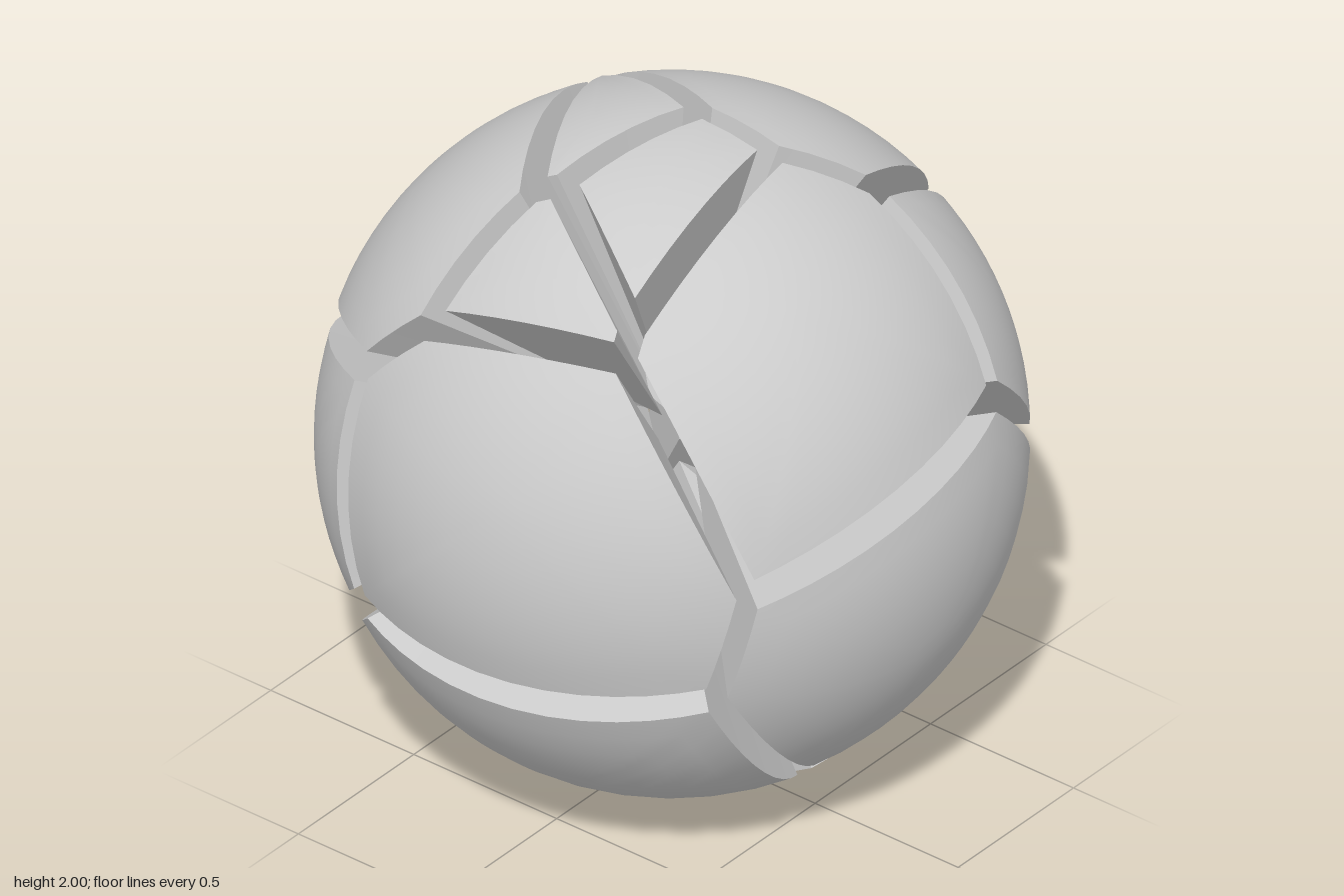
import * as THREE from 'three';
import { toCreasedNormals } from 'three/addons/utils/BufferGeometryUtils.js';

// A solid ball broken into wedge-shaped shards that have drifted slightly apart.
const RADIUS = 0.975;
const HALF_GAP = 0.045;
const LIFT = 0.025;
const STEP = 0.1;
const RINGS = 7;
const V = (x, y, z) => new THREE.Vector3(x, y, z);

// One seed per shard: a shard owns every direction that leans furthest along its seed.
const seeds = {
  upperFrontShard: V(-0.14, 0.56, 0.686),
  frontShard: V(0.035, -0.27, 0.925),
  upperFrontLeftShard: V(0.603, 0.381, 0.471),
  upperLeftShard: V(0.62, 0.63, 0),
  topBackShard: V(-0.15, 0.735, -0.34),
  topFrontShard: V(-0.25, 0.75, 0.035),
  upperRightShard: V(-0.47, 0.65, -0.12),
  leftShard: V(0.872, -0.025, 0.178),
  lowerFrontLeftShard: V(0.64, -0.44, 0.365),
  bottomShard: V(0.3, -0.88, 0.11),
  lowerLeftShard: V(0.59, -0.565, -0.29),
  backLeftShard: V(0.64, 0.135, -0.61),
  lowerBackShard: V(0.25, -0.37, -0.77),
  upperBackShard: V(-0.307, 0.606, -0.628),
  rightShard: V(-1, 0.09, 0.05),
  lowerRightShard: V(-0.7, -0.81, 0.03),
  backRightShard: V(-0.62, -0.03, -0.67),
};

const arc = (a, b, t) => a.clone().lerp(b, t).normalize();

// Keep the part of a cone of rays on the positive side of a plane through the middle.
function clip(rays, normal) {
  const kept = [];
  rays.forEach((a, i) => {
    const b = rays[(i + 1) % rays.length];
    const da = a.dot(normal), db = b.dot(normal);
    if (da >= 0) kept.push(a);
    if (da * db < 0) kept.push(a.clone().lerp(b, da / (da - db)));
  });
  return kept;
}

// Corners of one shard on the unit sphere, counter-clockwise from outside.
function shardCorners(seed) {
  const axis = seed.clone().normalize();
  const u = V(axis.y, axis.z, axis.x).cross(axis).normalize();
  const v = axis.clone().cross(u);
  let rays = [[-4, -4], [4, -4], [4, 4], [-4, 4]].map(([a, b]) =>
    axis.clone().addScaledVector(u, a).addScaledVector(v, b));
  for (const other of Object.values(seeds)) {
    if (other === seed) continue;
    // Tilting each cut towards the shard leaves half of the gap
    const cut = seed.clone().sub(other).normalize().addScaledVector(axis, -HALF_GAP);
    rays = clip(rays, cut);
  }
  return rays.map((r) => r.normalize());
}

function shardGeometry(corners, centre) {
  const tip = centre.clone().multiplyScalar(0.08);

  // Rim: every edge follows an arc over the ball
  const rim = [];
  corners.forEach((a, i) => {
    const b = corners[(i + 1) % corners.length];
    const n = Math.max(1, Math.ceil(a.angleTo(b) / STEP));
    for (let k = 0; k < n; k++) rim.push(arc(a, b, k / n));
  });

  const points = [];
  const tri = (...pts) => pts.forEach((p) => points.push(p.clone().multiplyScalar(RADIUS)));
  rim.forEach((a, i) => {
    const b = rim[(i + 1) % rim.length];
    // Rounded outer skin, in rings from the centre to the rim
    tri(centre, arc(centre, a, 1 / RINGS), arc(centre, b, 1 / RINGS));
    for (let k = 1; k < RINGS; k++) {
      const s = k / RINGS, t = (k + 1) / RINGS;
      const a0 = arc(centre, a, s), b0 = arc(centre, b, s);
      const a1 = arc(centre, a, t), b1 = arc(centre, b, t);
      tri(a0, a1, b1);
      tri(a0, b1, b0);
    }
    // Broken side wall, down to the inner tip
    tri(b, a, tip);
  });
  return toCreasedNormals(new THREE.BufferGeometry().setFromPoints(points), 0.4);
}

export function createModel() {
  const group = new THREE.Group();
  group.name = 'shatteredBall';
  const material = new THREE.MeshStandardMaterial({ color: 0xcccccc });
  for (const [name, seed] of Object.entries(seeds)) {
    const corners = shardCorners(seed);
    const centre = corners.reduce((sum, p) => sum.add(p), V(0, 0, 0)).normalize();
    const mesh = new THREE.Mesh(shardGeometry(corners, centre), material);
    mesh.name = name;
    // Upper shards drift up and lower ones down
    mesh.position.y = 1 + LIFT * centre.y;
    group.add(mesh);
  }
  return group;
}
